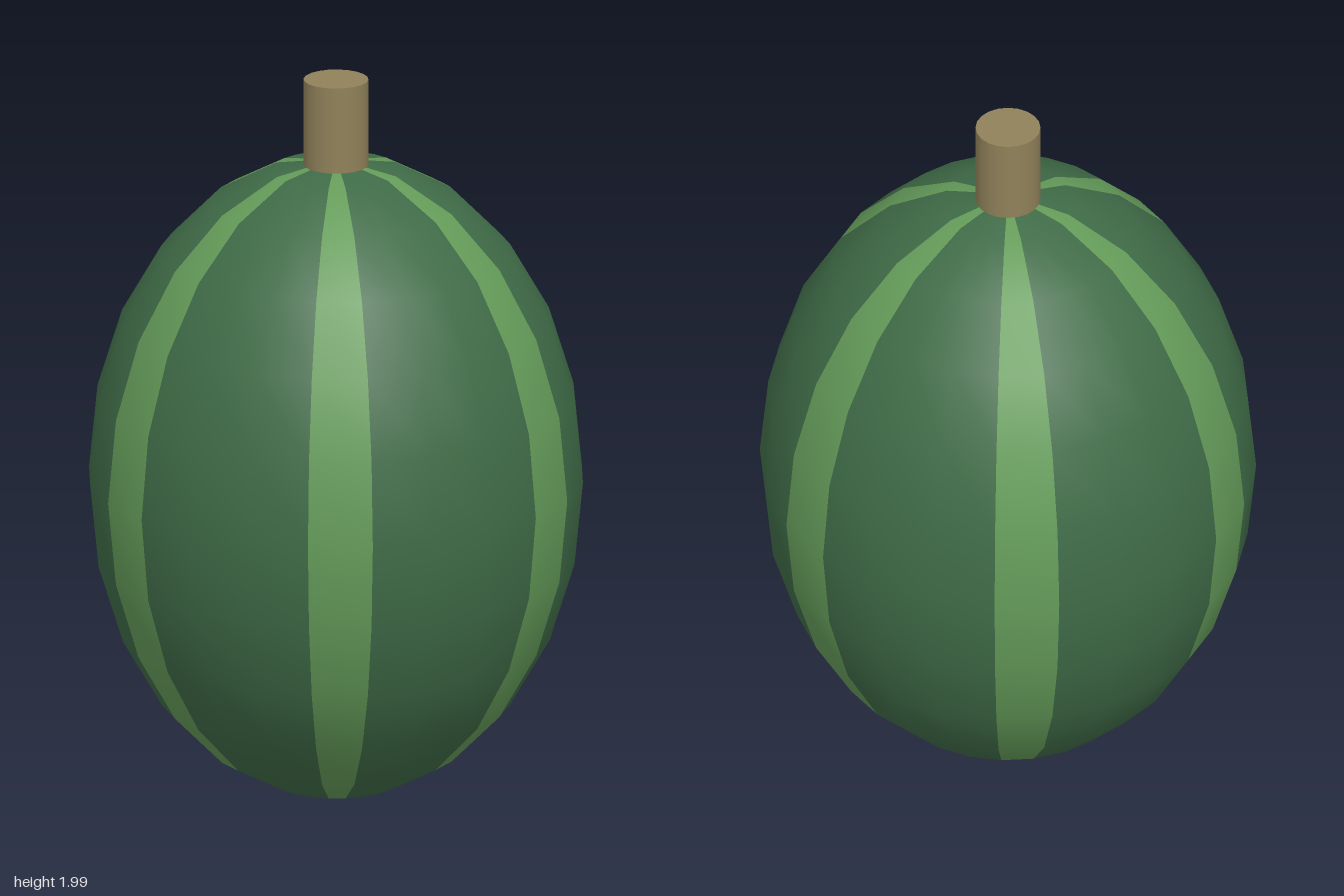
import * as THREE from 'three';

const RADIUS = 0.665, HALF_HEIGHT = 0.885, CENTER_Y = 0.892;
const ROWS = 12, STRIPES = 6;
const STEP = Math.PI / 12; // one of 24 sides

function material(name, color) {
  const m = new THREE.MeshStandardMaterial({ color });
  m.name = name;
  return m;
}

export function createModel() {
  const group = new THREE.Group();
  group.name = 'stripedMelon';
  const darkGreen = material('dark green rind', 0x3f6b47);
  const lightGreen = material('light green stripe', 0x649b59);
  const brown = material('stem brown', 0x8f8159);

  // Half-ellipse profile, bottom to top
  const profile = [];
  for (let i = 0; i <= ROWS; i++) {
    const a = (i / ROWS) * Math.PI;
    const r = i === 0 || i === ROWS ? 0 : RADIUS * Math.sin(a);
    profile.push(new THREE.Vector2(r, CENTER_Y - HALF_HEIGHT * Math.cos(a)));
  }

  // Wedge of the rind, a whole number of sides wide
  function addWedge(name, mat, start, sides) {
    const geo = new THREE.LatheGeometry(profile, sides, start * STEP, sides * STEP);
    const mesh = new THREE.Mesh(geo, mat);
    mesh.name = name;
    group.add(mesh);
  }

  // Alternating narrow light stripes and wide dark panels
  for (let k = 0; k < STRIPES; k++) {
    addWedge('stripe' + (k + 1), lightGreen, 4 * k + 1, 1);
    addWedge('rindPanel' + (k + 1), darkGreen, 4 * k + 2, 3);
  }

  // Stem sunk slightly into the top
  const stem = new THREE.Mesh(new THREE.CylinderGeometry(0.087, 0.087, 0.25, 20), brown);
  stem.name = 'stem';
  stem.position.y = 1.875;
  group.add(stem);

  return group;
}
